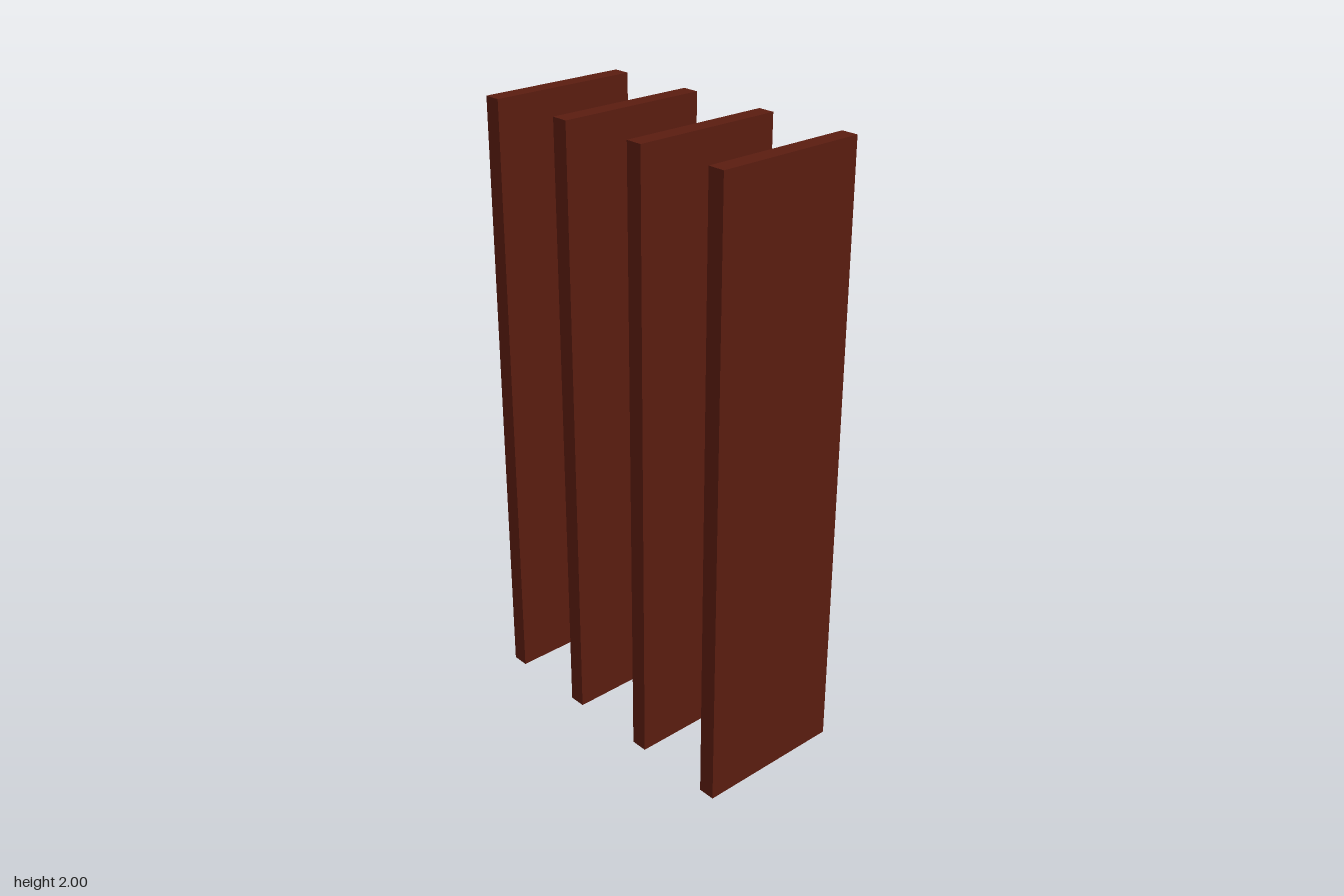
import * as THREE from 'three';

export function createModel() {
  const group = new THREE.Group();
  group.name = 'verticalSlats';

  const count = 4, spacing = 0.319;
  const width = 0.056, height = 2, depth = 0.5;
  const material = new THREE.MeshStandardMaterial({ color: 0x5a1c10 });
  const geometry = new THREE.BoxGeometry(width, height, depth);

  // Row of identical upright boards, evenly spaced along x
  for (let i = 0; i < count; i++) {
    const slat = new THREE.Mesh(geometry, material);
    slat.name = `slat${i + 1}`;
    slat.position.set((i - (count - 1) / 2) * spacing, height / 2, 0);
    group.add(slat);
  }
  return group;
}
